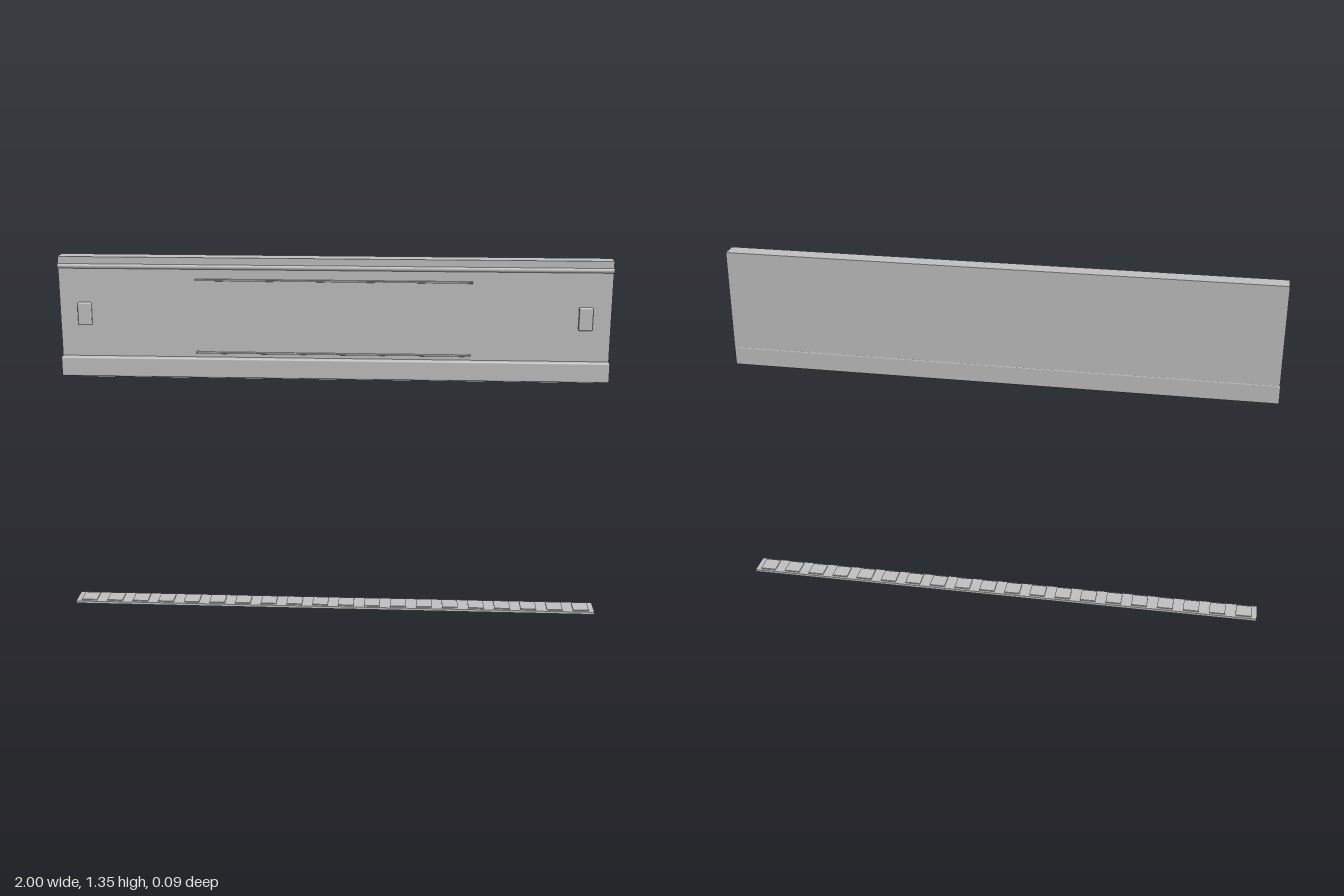
import * as THREE from 'three';
import { RoundedBoxGeometry } from 'three/addons/geometries/RoundedBoxGeometry.js';

export function createModel() {
  const model = new THREE.Group();
  model.name = 'doorHeaderAndSill';
  const grey = new THREE.MeshStandardMaterial({ color: 0xc0c0c0 });
  grey.name = 'plain grey';

  const add = (name, geometry, x, y, z) => {
    const mesh = new THREE.Mesh(geometry, grey);
    mesh.name = name;
    mesh.position.set(x, y, z);
    model.add(mesh);
    return mesh;
  };
  // Box given by its limits on each axis; a radius rounds its edges
  const box = (name, [x0, x1], [y0, y1], [z0, z1], radius = 0) => {
    const size = [x1 - x0, y1 - y0, z1 - z0];
    const geometry = radius
      ? new RoundedBoxGeometry(...size, 3, radius)
      : new THREE.BoxGeometry(...size);
    return add(name, geometry, (x0 + x1) / 2, (y0 + y1) / 2, (z0 + z1) / 2);
  };

  // Upper housing and rounded lower casing
  box('housing', [-0.998, 0.998], [0.984, 1.352], [-0.045, 0.02]);
  box('lowerCasing', [-1, 1], [0.913, 0.986], [-0.045, 0.045], 0.006);

  // Round trim rod, mostly sunk into the housing front
  const rod = add('trimRod', new THREE.CylinderGeometry(0.01, 0.01, 2, 16), 0, 1.318, 0.015);
  rod.rotation.z = Math.PI / 2;

  // Central cover plate held between two slim rails
  box('coverPlate', [-0.487, 0.487], [1.004, 1.272], [0.018, 0.025]);
  for (const y of [1.004, 1.272]) {
    box('coverRail', [-0.5, 0.5], [y - 0.003, y + 0.003], [0.018, 0.031], 0.001);
  }

  // Sensor buttons near both ends
  for (const side of [-1, 1]) {
    const x = side * 0.907;
    box('button', [x - 0.025, x + 0.025], [1.102, 1.186], [0.015, 0.035], 0.005);
  }

  // Long ribs under the casing
  for (const z of [-0.016, 0, 0.016]) {
    box('undersideRib', [-0.95, 0.95], [0.905, 0.916], [z - 0.004, z + 0.004]);
  }

  // Floor sill with a row of raised treads
  box('sill', [-1, 1], [0, 0.009], [-0.045, 0.045]);
  for (let i = 0; i < 20; i++) {
    const x = -0.95 + i * 0.1;
    box('sillTread', [x - 0.03, x + 0.03], [0.007, 0.013], [-0.035, 0.035]);
  }
  return model;
}
